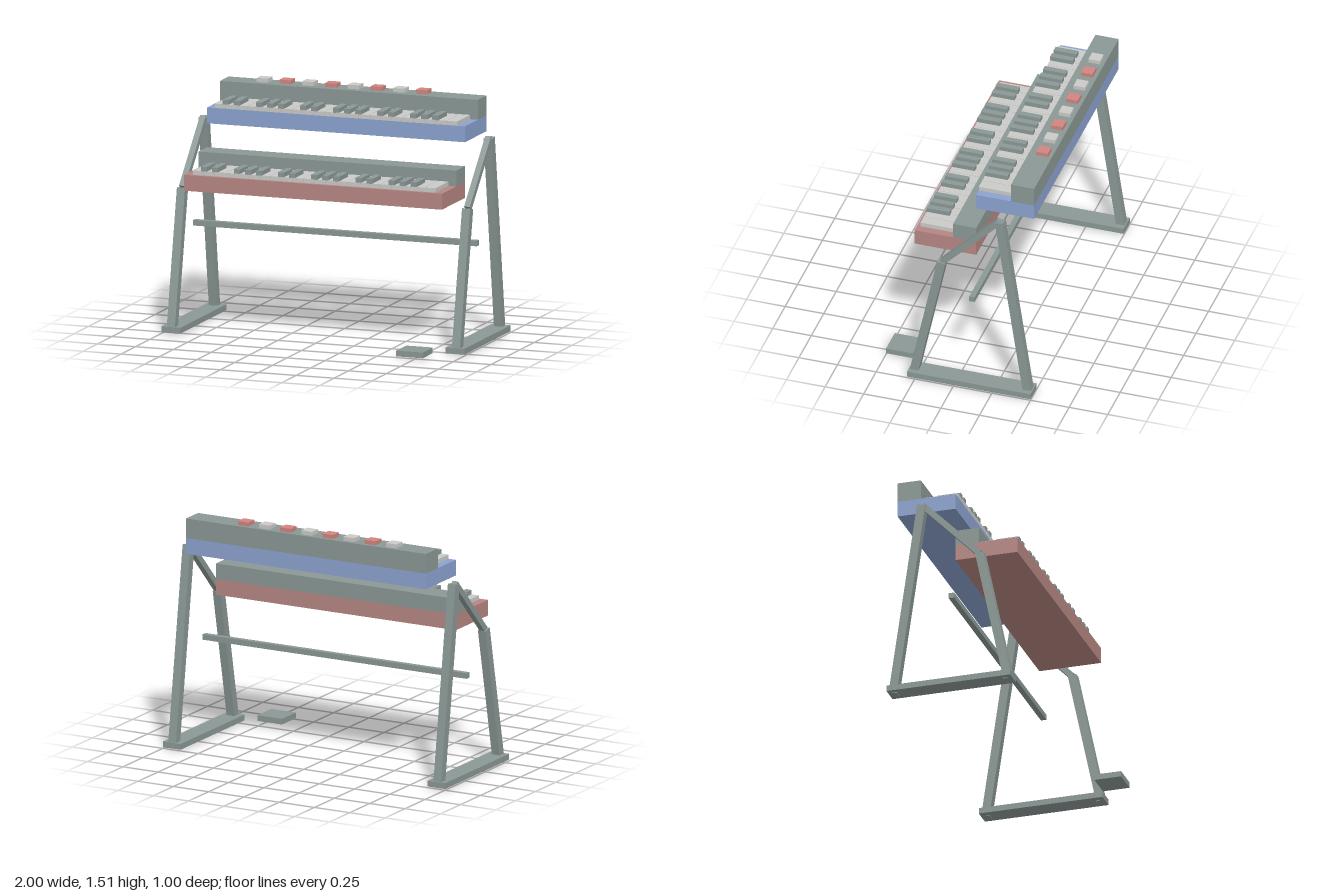
import * as THREE from 'three';

const paint = (name, color) => {
  const m = new THREE.MeshStandardMaterial({ color });
  m.name = name;
  return m;
};

export function createModel() {
  const model = new THREE.Group();
  model.name = 'keyboardRig';
  const slate = paint('slate grey', 0x8a9895);
  const ivory = paint('ivory', 0xcacac8);
  const blue = paint('case blue', 0x8ba2cf);
  const red = paint('case red', 0xb68682);
  const coral = paint('button red', 0xd08580);

  // Box given by its lower and upper limits on each axis
  const block = (parent, name, mat, [x0, x1], [y0, y1], [z0, z1]) => {
    const mesh = new THREE.Mesh(new THREE.BoxGeometry(x1 - x0, y1 - y0, z1 - z0), mat);
    mesh.position.set((x0 + x1) / 2, (y0 + y1) / 2, (z0 + z1) / 2);
    mesh.name = name;
    parent.add(mesh);
  };

  // Square bar between two [y, z] points in the plane of one stand side
  const bar = (parent, name, x, size, [y0, z0], [y1, z1]) => {
    const length = Math.hypot(y1 - y0, z1 - z0);
    const mesh = new THREE.Mesh(new THREE.BoxGeometry(size, length, size), slate);
    mesh.position.set(x, (y0 + y1) / 2, (z0 + z1) / 2);
    mesh.rotation.x = Math.atan2(z1 - z0, y1 - y0);
    mesh.name = name;
    parent.add(mesh);
  };

  // Keyboard: case, rear panel, white keys and black keys
  const keyboard = (name, mat, y, back, panelFront, caseFront, keyFront, panelHeight) => {
    const g = new THREE.Group();
    g.name = name;
    block(g, 'case', mat, [-0.85, 0.85], [y, y + 0.1], [back, caseFront]);
    const top = y + 0.1;
    block(g, 'rearPanel', slate, [-0.85, 0.85], [top, top + panelHeight], [back, panelFront]);
    const count = 22, step = 1.6 / count;
    for (let i = 0; i < count; i++) {
      const x = -0.8 + i * step;
      block(g, 'whiteKey', ivory, [x + 0.0015, x + step - 0.0015], [top, top + 0.027], [panelFront, keyFront]);
      if ([1, 2, 4, 5, 6].includes(i % 7))
        block(g, 'blackKey', slate, [x - 0.02, x + 0.02], [top + 0.025, top + 0.055], [keyFront - 0.148, keyFront]);
    }
    model.add(g);
    return g;
  };
  keyboard('lowerKeyboard', red, 0.91, -0.1, 0.05, 0.3, 0.278, 0.1);
  const upper = keyboard('upperKeyboard', blue, 1.26, -0.475, -0.325, -0.1, -0.1, 0.125);

  // Alternating buttons on the upper panel
  for (let i = 0; i < 8; i++) {
    const x = -0.59 + i * 0.15;
    block(upper, 'button', i % 2 ? coral : ivory, [x - 0.0375, x + 0.0375], [1.485, 1.51], [-0.45, -0.375]);
  }

  // Two A-shaped stand sides
  for (const s of [-1, 1]) {
    const side = new THREE.Group();
    side.name = s > 0 ? 'leftStand' : 'rightStand';
    const x = s * 0.94;
    block(side, 'foot', slate, [s * 0.9375 - 0.0625, s * 0.9375 + 0.0625], [0.01, 0.047], [-0.5, 0.3]);
    bar(side, 'frontLeg', x, 0.054, [0.008, 0.273], [0.885, 0.09]);
    bar(side, 'rearLeg', x, 0.054, [0.008, -0.47], [1.262, -0.285]);
    bar(side, 'upperBrace', x, 0.038, [0.885, 0.088], [1.262, -0.28]);
    model.add(side);
  }

  // Cross rail and floor pedal
  block(model, 'crossRail', slate, [-0.935, 0.935], [0.615, 0.65], [-0.117, -0.082]);
  block(model, 'pedal', slate, [0.625, 0.8], [0.01, 0.046], [0.327, 0.5]);
  return model;
}
